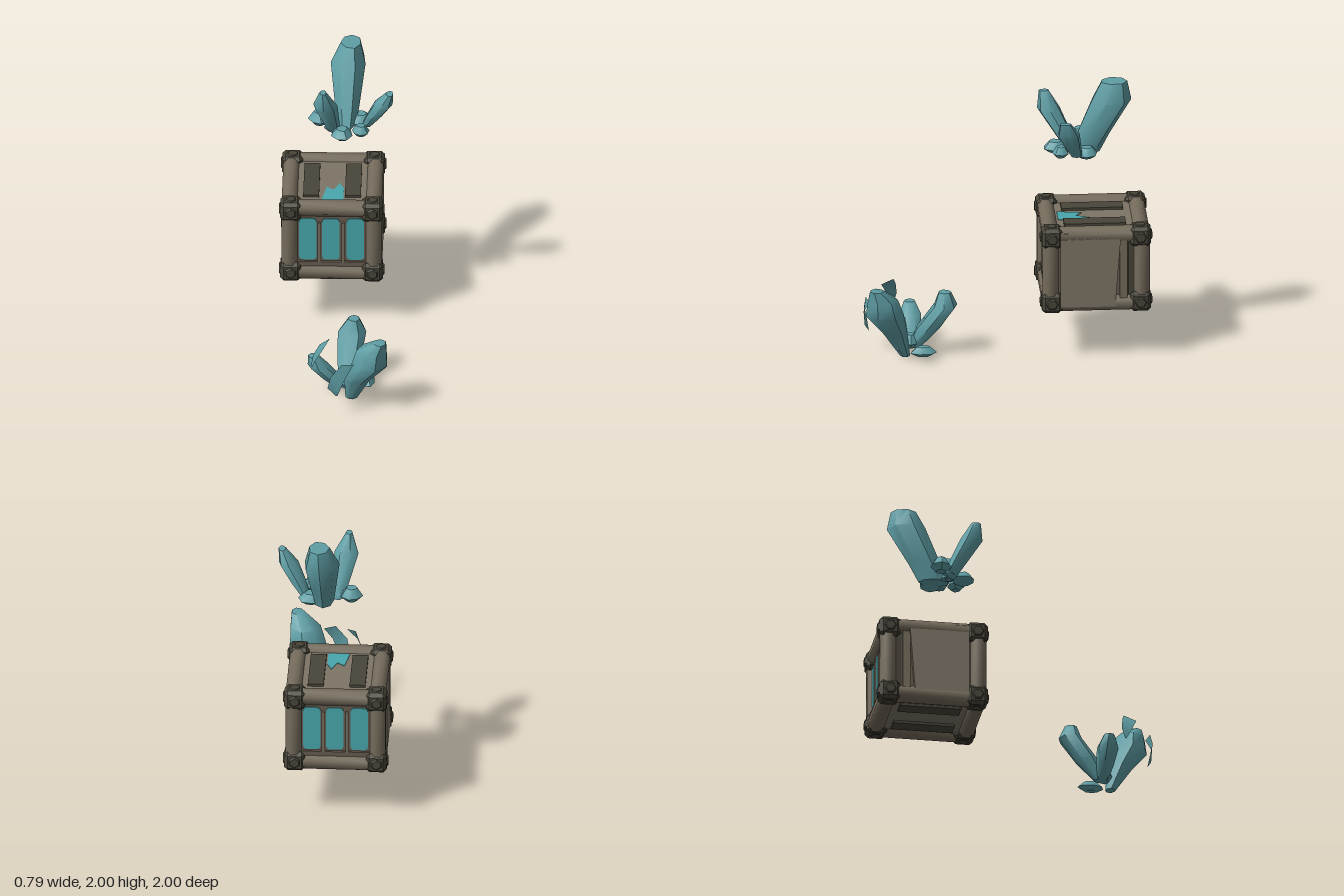
import * as THREE from 'three';
import { toCreasedNormals } from 'three/addons/utils/BufferGeometryUtils.js';
import { ConvexGeometry } from 'three/addons/geometries/ConvexGeometry.js';

const mat = (name, color, side = THREE.FrontSide) => {
  const m = new THREE.MeshStandardMaterial({ color, side });
  m.name = name;
  return m;
};

export function createModel() {
  const model = new THREE.Group();
  const beamMat = mat('worn metal', 0x756c5c);
  const panelMat = mat('panel metal', 0x7d7566);
  const frameMat = mat('brown frame', 0x675c50);
  const darkMat = mat('dark iron', 0x484539);
  const glowMat = mat('glowing glass', 0x48a8ae);
  const crystalMat = mat('crystal', 0x5f9fa6);
  const shardMat = mat('crystal shard', 0x5f9fa6, THREE.DoubleSide);

  const add = (parent, name, geo, material, x = 0, y = 0, z = 0) => {
    const m = new THREE.Mesh(geo, material);
    m.name = name;
    m.position.set(x, y, z);
    parent.add(m);
    return m;
  };
  const box = (w, h, d) => new THREE.BoxGeometry(w, h, d);

  // Crate, built around its own centre
  const crate = new THREE.Group();
  crate.name = 'crate';
  crate.position.set(-0.03, 0.67, -0.61);
  model.add(crate);
  add(crate, 'crateCore', box(0.62, 0.54, 0.67), frameMat);

  // Twelve octagonal edge beams
  const outer = [0.348, 0.308, 0.372], r = 0.055;
  const beam = (axis, a, b) => {
    const len = 2 * outer[axis] - 0.1;
    const geo = new THREE.CylinderGeometry(r / Math.cos(Math.PI / 8), r / Math.cos(Math.PI / 8), len, 8);
    geo.rotateY(Math.PI / 8);
    if (axis === 0) geo.rotateZ(Math.PI / 2);
    if (axis === 2) geo.rotateX(Math.PI / 2);
    const p = outer.map((o) => o - r);
    p[axis] = 0;
    p[(axis + 1) % 3] *= a;
    p[(axis + 2) % 3] *= b;
    add(crate, 'edgeBeam', toCreasedNormals(geo, 0.9), beamMat, ...p);
  };
  for (let axis = 0; axis < 3; axis++)
    for (const a of [-1, 1]) for (const b of [-1, 1]) beam(axis, a, b);

  // Chamfered corner caps with a boss on every outer face
  const capPoints = [];
  const h = 0.072, c = 0.048;
  for (const sx of [-1, 1]) for (const sy of [-1, 1]) for (const sz of [-1, 1])
    for (const [x, y, z] of [[h, c, c], [c, h, c], [c, c, h]])
      capPoints.push(new THREE.Vector3(sx * x, sy * y, sz * z));
  const capGeo = new ConvexGeometry(capPoints);
  const bossGeo = toCreasedNormals(new THREE.CylinderGeometry(0.034, 0.048, 0.016, 6), 0.5);
  for (const sx of [-1, 1]) for (const sy of [-1, 1]) for (const sz of [-1, 1]) {
    const cap = new THREE.Group();
    cap.name = 'cornerCap';
    cap.position.set(sx * 0.284, sy * 0.242, sz * 0.308);
    crate.add(cap);
    add(cap, 'capBody', capGeo, darkMat);
    add(cap, 'capBossSide', bossGeo, darkMat, sx * 0.074, 0, 0).rotation.z = -sx * Math.PI / 2;
    add(cap, 'capBossEnd', bossGeo, darkMat, 0, 0, sz * 0.074).rotation.x = sz * Math.PI / 2;
    add(cap, 'capBossLevel', bossGeo, darkMat, 0, sy * 0.07, 0).rotation.x = sy > 0 ? 0 : Math.PI;
  }

  // Rounded window pane
  const pane = new THREE.Shape();
  const w = 0.06, t = 0.18, b = -0.15, k = 0.03;
  pane.moveTo(-w + k, b).lineTo(w - k, b).quadraticCurveTo(w, b, w, b + k)
    .lineTo(w, t - k).quadraticCurveTo(w, t, w - k, t)
    .lineTo(-w + k, t).quadraticCurveTo(-w, t, -w, t - k)
    .lineTo(-w, b + k).quadraticCurveTo(-w, b, -w + k, b);
  const paneGeo = new THREE.ExtrudeGeometry(pane, { depth: 0.008, bevelEnabled: false, curveSegments: 4 });

  // Front and back: three windows, dividers and a sill
  for (const turn of [0, Math.PI]) {
    const face = new THREE.Group();
    face.name = turn ? 'backFace' : 'frontFace';
    face.rotation.y = turn;
    crate.add(face);
    for (const x of [-0.165, -0.005, 0.165]) add(face, 'window', paneGeo, glowMat, x, 0, 0.335);
    for (const x of [-0.085, 0.08]) add(face, 'windowDivider', box(0.022, 0.32, 0.03), beamMat, x, -0.01, 0.338);
    add(face, 'windowSill', box(0.48, 0.035, 0.025), frameMat, 0, -0.18, 0.34);
  }

  // Side panels with a narrow strip beside the rear post
  const plate = new THREE.Shape([
    [0.25, -0.27], [-0.13, -0.27], [-0.17, 0.26], [0.23, 0.28], [0.25, 0.24],
  ].map(([z, y]) => new THREE.Vector2(-z, y)));
  const plateGeo = new THREE.ExtrudeGeometry(plate, { depth: 0.04, bevelEnabled: false });
  plateGeo.rotateY(Math.PI / 2);
  for (const s of [-1, 1]) {
    add(crate, 'sidePanel', plateGeo, panelMat, s > 0 ? 0.308 : -0.348, 0, 0);
    add(crate, 'sideStrip', box(0.02, 0.48, 0.055), beamMat, s * 0.322, 0, -0.19);
    add(crate, 'sideGroove', box(0.006, 0.46, 0.035), darkMat, s * 0.312, 0, -0.24);
  }

  // Top and bottom: plain plate with two dark slats
  for (const s of [-1, 1]) {
    add(crate, s > 0 ? 'topPlate' : 'bottomPlate', box(0.5, 0.008, 0.54), panelMat, 0, s * 0.273, 0);
    for (const x of [-0.145, 0.145])
      add(crate, 'slat', box(0.11, 0.03, 0.43), darkMat, x, s * 0.28, 0);
  }

  // Jagged glowing opening on the lid
  const gap = new THREE.Shape([
    [-0.07, -0.25], [0.08, -0.25], [0.08, -0.1], [0.05, -0.03], [0.01, -0.12], [-0.04, -0.08],
  ].map(([x, y]) => new THREE.Vector2(x, y)));
  const gapGeo = new THREE.ExtrudeGeometry(gap, { depth: 0.006, bevelEnabled: false });
  gapGeo.rotateX(-Math.PI / 2);
  add(crate, 'lidGlow', gapGeo, glowMat, 0, 0.276, 0);

  // Crystal lofted through level rings of [x, y, z, radiusX, radiusZ]
  const N = 7;
  const crystal = (parent, name, rings, turn = 0) => {
    const pos = [], idx = [];
    rings.forEach(([x, y, z, rx, rz]) => {
      for (let i = 0; i < N; i++) {
        const a = turn + (i / N) * Math.PI * 2;
        const wob = 1 + 0.06 * Math.sin(i * 2.4 + turn);
        pos.push(x + Math.cos(a) * rx * wob, y, z + Math.sin(a) * rz * wob);
      }
    });
    for (let j = 0; j < rings.length - 1; j++)
      for (let i = 0; i < N; i++) {
        const p = j * N + i, q = j * N + ((i + 1) % N);
        idx.push(p, p + N, q, q, p + N, q + N);
      }
    const top = (rings.length - 1) * N;
    for (let i = 1; i < N - 1; i++) idx.push(0, i, i + 1, top, top + i + 1, top + i);
    const geo = new THREE.BufferGeometry();
    geo.setAttribute('position', new THREE.Float32BufferAttribute(pos, 3));
    geo.setIndex(idx);
    add(parent, name, toCreasedNormals(geo, 0.8), crystalMat);
  };
  const pebble = (parent, x, y, z, rx, ry, rz, turn) => crystal(parent, 'crystalPebble', [
    [x, y - ry, z, rx * 0.5, rz * 0.5], [x, y - ry * 0.2, z, rx, rz],
    [x, y + ry, z, rx * 0.5, rz * 0.5]], turn);

  // Upper cluster
  const upper = new THREE.Group();
  upper.name = 'upperCrystalCluster';
  model.add(upper);
  crystal(upper, 'largeCrystal', [[0.07, 1.47, -0.54, 0.065, 0.11], [0.075, 1.6, -0.595, 0.085, 0.12],
    [0.08, 1.86, -0.725, 0.12, 0.145], [0.095, 2, -0.745, 0.07, 0.095]], 0.3);
  crystal(upper, 'mediumCrystal', [[-0.02, 1.46, -0.46, 0.045, 0.05], [-0.075, 1.74, -0.305, 0.083, 0.083],
    [-0.09, 1.87, -0.27, 0.022, 0.035]], 0.8);
  crystal(upper, 'slimCrystal', [[0.21, 1.49, -0.48, 0.035, 0.04], [0.26, 1.58, -0.45, 0.055, 0.06],
    [0.325, 1.7, -0.415, 0.066, 0.08], [0.37, 1.795, -0.39, 0.025, 0.04]], 0.1);
  for (const p of [[-0.12, 1.52, -0.52, 0.075, 0.05, 0.075, 0.5], [0.16, 1.5, -0.55, 0.09, 0.04, 0.08, 1],
    [0.04, 1.5, -0.34, 0.075, 0.04, 0.085, 0.2], [0.17, 1.51, -0.37, 0.06, 0.04, 0.06, 0.7],
    [-0.03, 1.49, -0.45, 0.06, 0.035, 0.05, 1.2]]) pebble(upper, ...p);

  // Lower cluster
  const lower = new THREE.Group();
  lower.name = 'lowerCrystalCluster';
  model.add(lower);
  crystal(lower, 'largeCrystal', [[0.13, 0, 0.71, 0.04, 0.035], [0.175, 0.2, 0.785, 0.088, 0.088],
    [0.265, 0.37, 0.862, 0.122, 0.135], [0.28, 0.48, 0.875, 0.105, 0.108], [0.33, 0.565, 0.92, 0.045, 0.05]], 0.4);
  crystal(lower, 'mediumCrystal', [[0.09, 0.05, 0.64, 0.04, 0.05], [0.11, 0.2, 0.545, 0.08, 0.09],
    [0.13, 0.37, 0.43, 0.098, 0.085], [0.14, 0.47, 0.435, 0.04, 0.045]], 0.2);
  crystal(lower, 'slimCrystal', [[0.04, 0.05, 0.645, 0.03, 0.04], [-0.02, 0.13, 0.65, 0.068, 0.062],
    [-0.1, 0.22, 0.655, 0.072, 0.077], [-0.135, 0.3, 0.66, 0.035, 0.04]], 0.6);
  pebble(lower, 0.24, 0.07, 0.59, 0.05, 0.035, 0.095, 0.3);
  pebble(lower, 0.11, 0.1, 0.67, 0.06, 0.05, 0.05, 0.9);

  // Thin curved shards, each a strip between two edges
  const shard = (left, right) => {
    const pos = [], idx = [];
    left.forEach((p, i) => pos.push(...p, ...right[i]));
    for (let i = 0; i < left.length - 1; i++) {
      const a = i * 2;
      idx.push(a, a + 1, a + 2, a + 1, a + 3, a + 2);
    }
    const geo = new THREE.BufferGeometry();
    geo.setAttribute('position', new THREE.Float32BufferAttribute(pos, 3));
    geo.setIndex(idx);
    geo.computeVertexNormals();
    add(lower, 'crystalShard', geo, shardMat);
  };
  shard([[-0.15, 0.28, 0.77], [-0.135, 0.36, 0.75], [-0.09, 0.45, 0.76], [-0.02, 0.51, 0.78]],
    [[-0.14, 0.28, 0.78], [-0.115, 0.36, 0.82], [-0.075, 0.45, 0.86], [-0.025, 0.505, 0.79]]);
  shard([[0.03, 0.15, 0.955], [-0.03, 0.22, 0.965], [-0.01, 0.32, 0.985], [0.07, 0.42, 0.98]],
    [[0.04, 0.16, 0.96], [0.05, 0.2, 0.985], [0.09, 0.31, 0.995], [0.15, 0.41, 0.96]]);
  return model;
}
